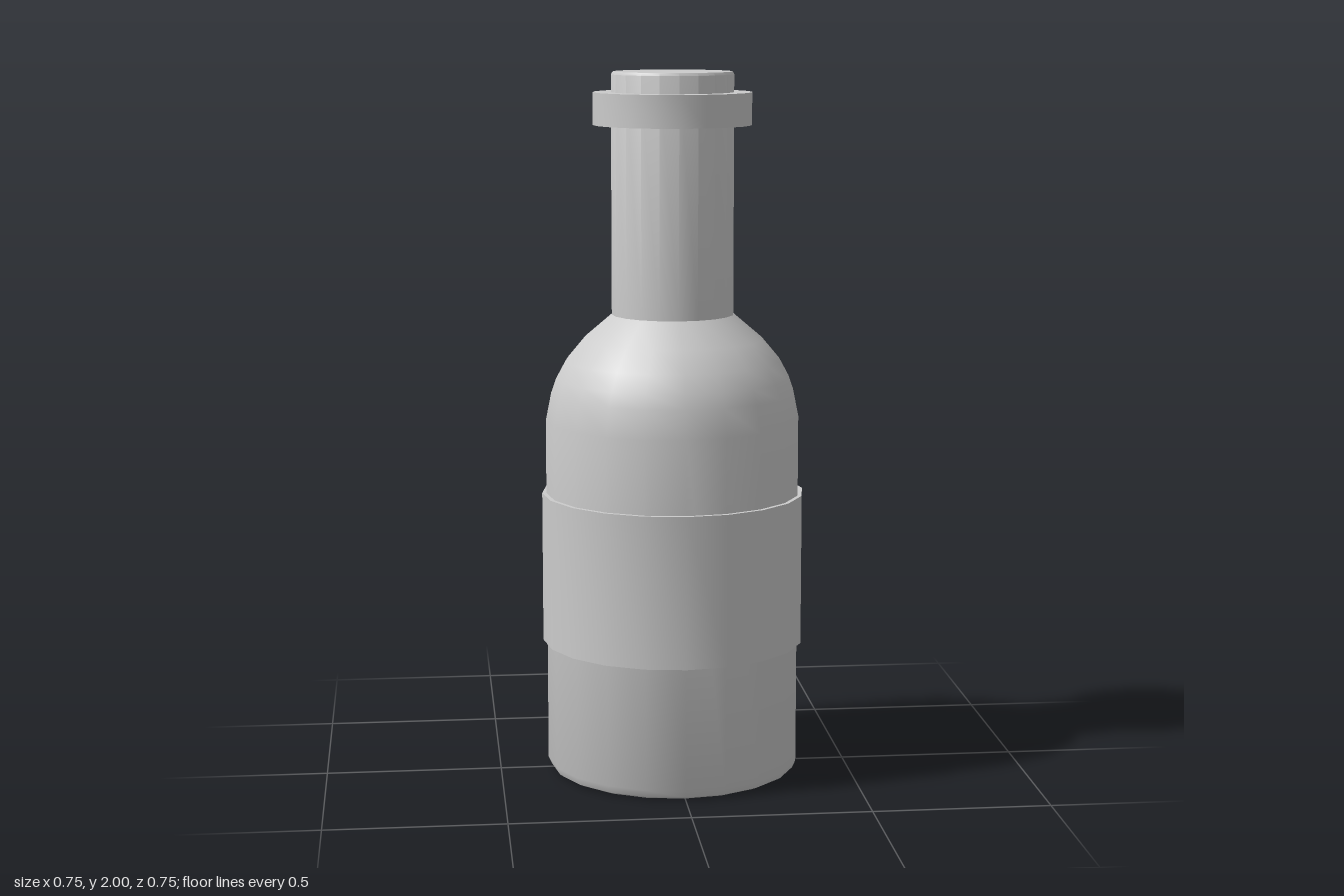
import * as THREE from 'three';
import { toCreasedNormals } from 'three/addons/utils/BufferGeometryUtils.js';

const SIDES = 20;
const CREASE = 0.6;

export function createModel() {
  const bottle = new THREE.Group();
  bottle.name = 'bottle';
  const material = new THREE.MeshStandardMaterial({ color: 0xcccccc });

  // Revolves an outline of [radius, height] pairs, listed from bottom to top
  function turned(name, outline) {
    const points = outline.map(([r, y]) => new THREE.Vector2(r, y));
    const geometry = toCreasedNormals(new THREE.LatheGeometry(points, SIDES), CREASE);
    const mesh = new THREE.Mesh(geometry, material);
    mesh.name = name;
    bottle.add(mesh);
  }

  // Flat base with a softened rim, straight wall and rounded shoulder
  turned('body', [
    [0, 0], [0.335, 0], [0.352, 0.008], [0.362, 0.03],
    [0.362, 1.02], [0.346, 1.1], [0.332, 1.14], [0.305, 1.19],
    [0.255, 1.25], [0.173, 1.32],
  ]);

  // Neck, closed by a slightly bevelled top
  turned('neck', [[0.173, 1.32], [0.173, 1.992], [0.168, 2], [0, 2]]);

  // Collar around the mouth
  turned('lip', [[0.173, 1.852], [0.224, 1.852], [0.224, 1.943], [0.173, 1.943]]);

  // Raised band wrapped round the body
  turned('label', [[0.36, 0.38], [0.374, 0.38], [0.374, 0.81], [0.36, 0.81]]);

  return bottle;
}
